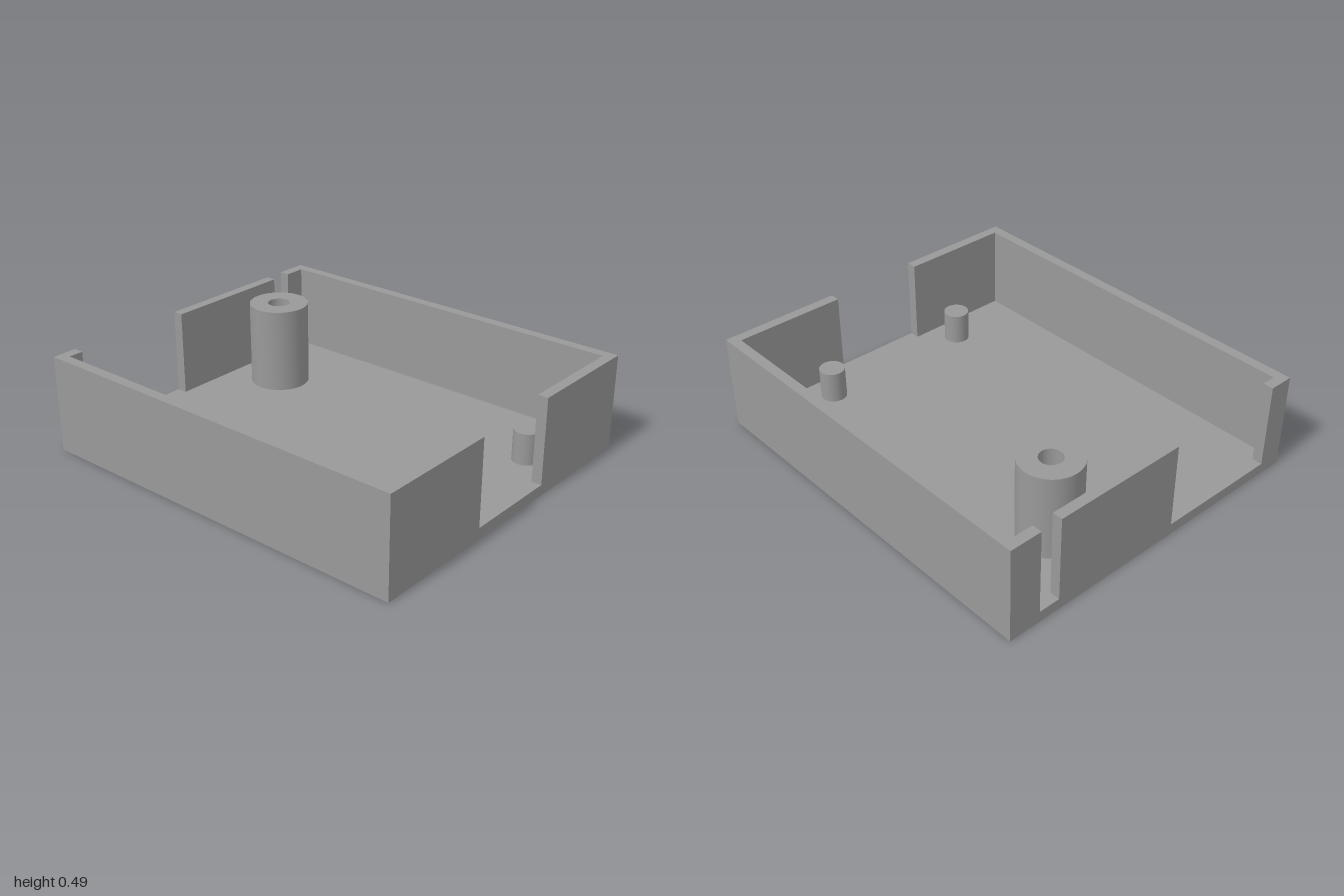
import * as THREE from 'three';
import { toCreasedNormals } from 'three/addons/utils/BufferGeometryUtils.js';

const W = 0.863;      // half width
const D = 1;          // half depth
const T = 0.052;      // wall thickness
const FLOOR = 0.055;  // floor thickness
const H = 0.487;      // total height

export function createModel() {
  const group = new THREE.Group();
  const plastic = new THREE.MeshStandardMaterial({ color: 0x999999 });
  plastic.name = 'grey plastic';

  const add = (name, geometry, x = 0, y = 0, z = 0) => {
    const mesh = new THREE.Mesh(geometry, plastic);
    mesh.name = name;
    mesh.position.set(x, y, z);
    group.add(mesh);
  };

  // Raise a plan outline of [x, z] points from the floor to the rim
  const wall = (name, outline) => {
    const shape = new THREE.Shape(outline.map(([x, z]) => new THREE.Vector2(x, -z)));
    const geometry = new THREE.ExtrudeGeometry(shape, { depth: H - FLOOR, bevelEnabled: false });
    add(name, geometry.rotateX(-Math.PI / 2), 0, FLOOR, 0);
  };

  // Floor plate
  add('floor', new THREE.BoxGeometry(2 * W, FLOOR, 2 * D), 0, FLOOR / 2, 0);

  // Side walls, each turning the corner into the front and back walls
  const sideWall = (name, side, frontEnd, backEnd) => wall(name, [
    [frontEnd, D], [W, D], [W, -D], [backEnd, -D],
    [backEnd, -D + T], [W - T, -D + T], [W - T, D - T], [frontEnd, D - T],
  ].map(([x, z]) => [side * x, z]));
  sideWall('leftWall', 1, 0.245, 0.7);
  sideWall('rightWall', -1, 0.245, 0.737);

  // Free-standing back panel between the two back openings
  wall('backPanel', [[-0.1, -D], [0.59, -D], [0.59, -D + T], [-0.1, -D + T]]);

  // Tall screw boss with a hole down to the floor
  const bossProfile = [[0.151, FLOOR], [0.151, H], [0.056, H], [0.056, FLOOR]]
    .map(([r, y]) => new THREE.Vector2(r, y));
  add('screwBoss', toCreasedNormals(new THREE.LatheGeometry(bossProfile, 64), 0.6), 0.347, 0, -0.688);

  // Short locating pegs
  const pegHeight = 0.16;
  for (const [name, side] of [['leftPeg', 1], ['rightPeg', -1]]) {
    add(name, new THREE.CylinderGeometry(0.064, 0.064, pegHeight, 48), side * 0.408, FLOOR + pegHeight / 2, 0.81);
  }

  return group;
}
